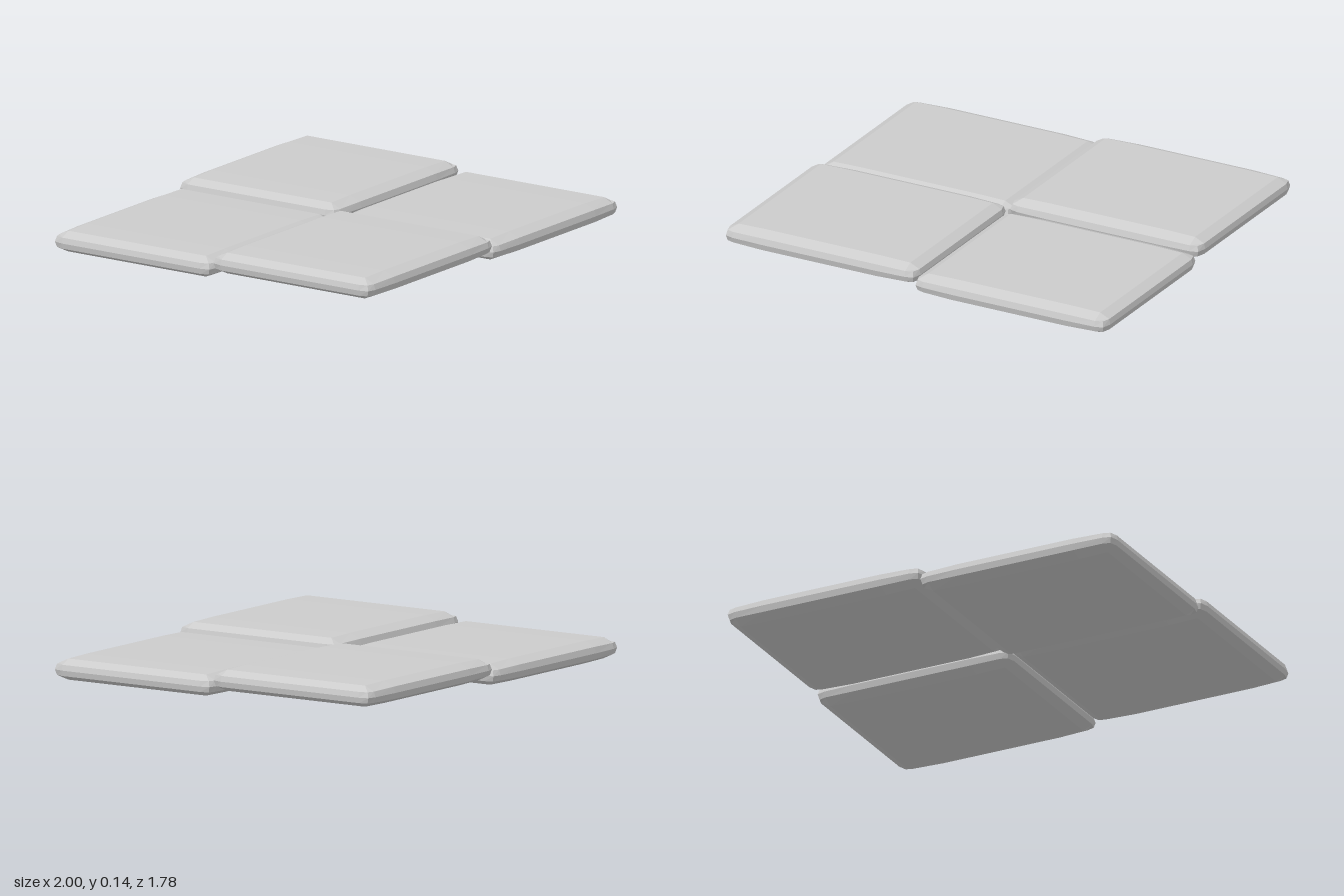
import * as THREE from 'three';

const material = new THREE.MeshStandardMaterial({ color: 0xcccccc, flatShading: true });

// Cushion-like slab: a coarse box whose grid lines are moved to form bevels
function slabGeometry() {
  const xs = [-0.503, -0.45, -0.3, 0.3, 0.45, 0.503];
  const zs = [-0.448, -0.385, 0.385, 0.448];
  const ys = [0, 0.052, 0.104];
  const geo = new THREE.BoxGeometry(1, 1, 1, 5, 2, 3);
  const p = geo.attributes.position;
  const index = (v, n) => Math.round((v + 0.5) * n);
  for (let k = 0; k < p.count; k++) {
    const i = index(p.getX(k), 5), j = index(p.getY(k), 2), l = index(p.getZ(k), 3);
    let x = xs[i], y = ys[j], z = zs[l];
    const endX = i === 0 || i === 5, endZ = l === 0 || l === 3, capY = j !== 1;
    const sx = Math.sign(x), sz = Math.sign(z), sy = j - 1;
    // rims drop towards the middle and pull in a little
    if (capY && (endX || endZ)) {
      y -= sy * 0.023;
      if (endX) x -= sx * 0.006;
      if (endZ) z -= sz * 0.008;
    }
    // slight crown towards the ends
    if (capY && (i <= 1 || i >= 4)) y -= sy * 0.003;
    // clipped plan corners
    if (endX && endZ) {
      x -= sx * 0.012;
      z -= sz * 0.016;
    } else if (endZ && (i === 1 || i === 4)) z -= sz * 0.005;
    p.setXYZ(k, x, y, z);
  }
  geo.computeVertexNormals();
  return geo;
}

export function createModel() {
  const group = new THREE.Group();
  group.name = 'slabFloor';
  const geo = slabGeometry();
  // Two by two slabs, raised and lowered in a checker pattern
  for (const sx of [-1, 1]) {
    for (const sz of [-1, 1]) {
      const slab = new THREE.Mesh(geo, material);
      slab.name = (sz > 0 ? 'front' : 'back') + (sx > 0 ? 'Left' : 'Right') + 'Slab';
      slab.position.set(sx * 0.497, sx * sz < 0 ? 0.034 : 0, sz * 0.444);
      group.add(slab);
    }
  }
  return group;
}
